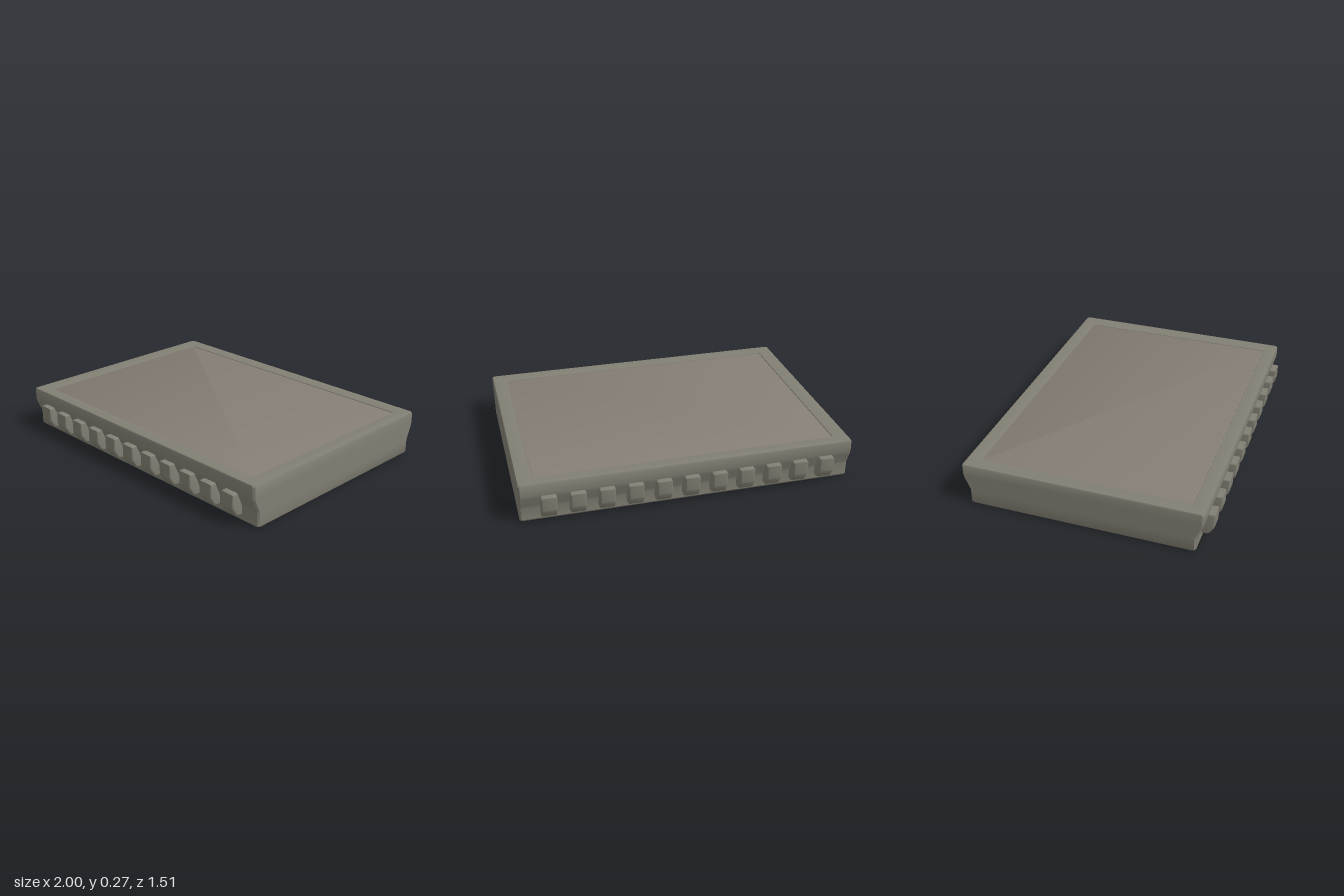
import * as THREE from 'three';
import { toCreasedNormals } from 'three/addons/utils/BufferGeometryUtils.js';

// Rectangle with clipped corners, counterclockwise seen from above
function ring([hx, hz, y], c = 0.01) {
  return [
    [hx, hz - c], [hx, -hz + c], [hx - c, -hz], [-hx + c, -hz],
    [-hx, -hz + c], [-hx, hz - c], [-hx + c, hz], [hx - c, hz],
  ].map(([x, z]) => [x, y, z]);
}

// Joins rings of [half width, half depth, height]; caps are optional
function loft(levels, capBottom, capTop) {
  const rings = levels.map((l) => ring(l));
  const pos = [];
  const tri = (a, b, c) => pos.push(...a, ...b, ...c);
  for (let k = 0; k < rings.length - 1; k++) {
    const lo = rings[k], hi = rings[k + 1];
    for (let i = 0; i < 8; i++) {
      const j = (i + 1) % 8;
      tri(lo[i], lo[j], hi[j]);
      tri(lo[i], hi[j], hi[i]);
    }
  }
  const first = rings[0], last = rings[rings.length - 1];
  for (let i = 1; i < 7; i++) {
    if (capBottom) tri(first[0], first[i + 1], first[i]);
    if (capTop) tri(last[0], last[i], last[i + 1]);
  }
  const geo = new THREE.BufferGeometry();
  geo.setAttribute('position', new THREE.Float32BufferAttribute(pos, 3));
  return toCreasedNormals(geo, 0.5);
}

export function createModel() {
  const group = new THREE.Group();
  const bodyMat = new THREE.MeshStandardMaterial({ color: 0x828074 });
  bodyMat.name = 'warm grey';
  const panelMat = new THREE.MeshStandardMaterial({ color: 0x857e75 });
  panelMat.name = 'brownish grey';

  const add = (name, geo, mat, parent = group) => {
    const mesh = new THREE.Mesh(geo, mat);
    mesh.name = name;
    parent.add(mesh);
    return mesh;
  };

  // Slab: narrow foot, flared sides, soft edges and a rim sloping inward
  add('body', loft([
    [0.985, 0.668, 0],
    [0.995, 0.676, 0.004],
    [1, 0.682, 0.014],
    [1, 0.682, 0.09],
    [1, 0.687, 0.108],
    [1, 0.714, 0.17],
    [1, 0.72, 0.193],
    [1, 0.72, 0.256],
    [0.996, 0.716, 0.265],
    [0.985, 0.705, 0.268],
    [0.91, 0.637, 0.259],
    [0.908, 0.635, 0.255],
  ], true, false), bodyMat);

  // Recessed top panel
  add('topPanel', loft([[0.908, 0.635, 0.255], [0.906, 0.633, 0.256]], false, true), panelMat);

  // Lugs: rounded blocks with a sloping underside, along front and back
  const b = 0.01;
  const profile = new THREE.Shape([
    [0.66, 0.04 + b], [0.704, 0.04 + b], [0.718, 0.056], [0.741, 0.092],
    [0.755 - b, 0.107], [0.755 - b, 0.183 - b], [0.66, 0.183 - b],
  ].map(([z, y]) => new THREE.Vector2(z, y)));
  const raw = new THREE.ExtrudeGeometry(profile, {
    depth: 0.072, bevelEnabled: true, bevelSize: b, bevelThickness: b, bevelSegments: 3,
  });
  raw.translate(0, 0, -0.036).rotateY(-Math.PI / 2);
  const lugGeo = toCreasedNormals(raw, 0.6);

  for (const side of ['front', 'back']) {
    const row = new THREE.Group();
    row.name = side + 'Lugs';
    if (side === 'back') row.rotation.y = Math.PI;
    for (let i = -5; i <= 5; i++) {
      add('lug', lugGeo, bodyMat, row).position.x = i * 0.1667;
    }
    group.add(row);
  }
  return group;
}
